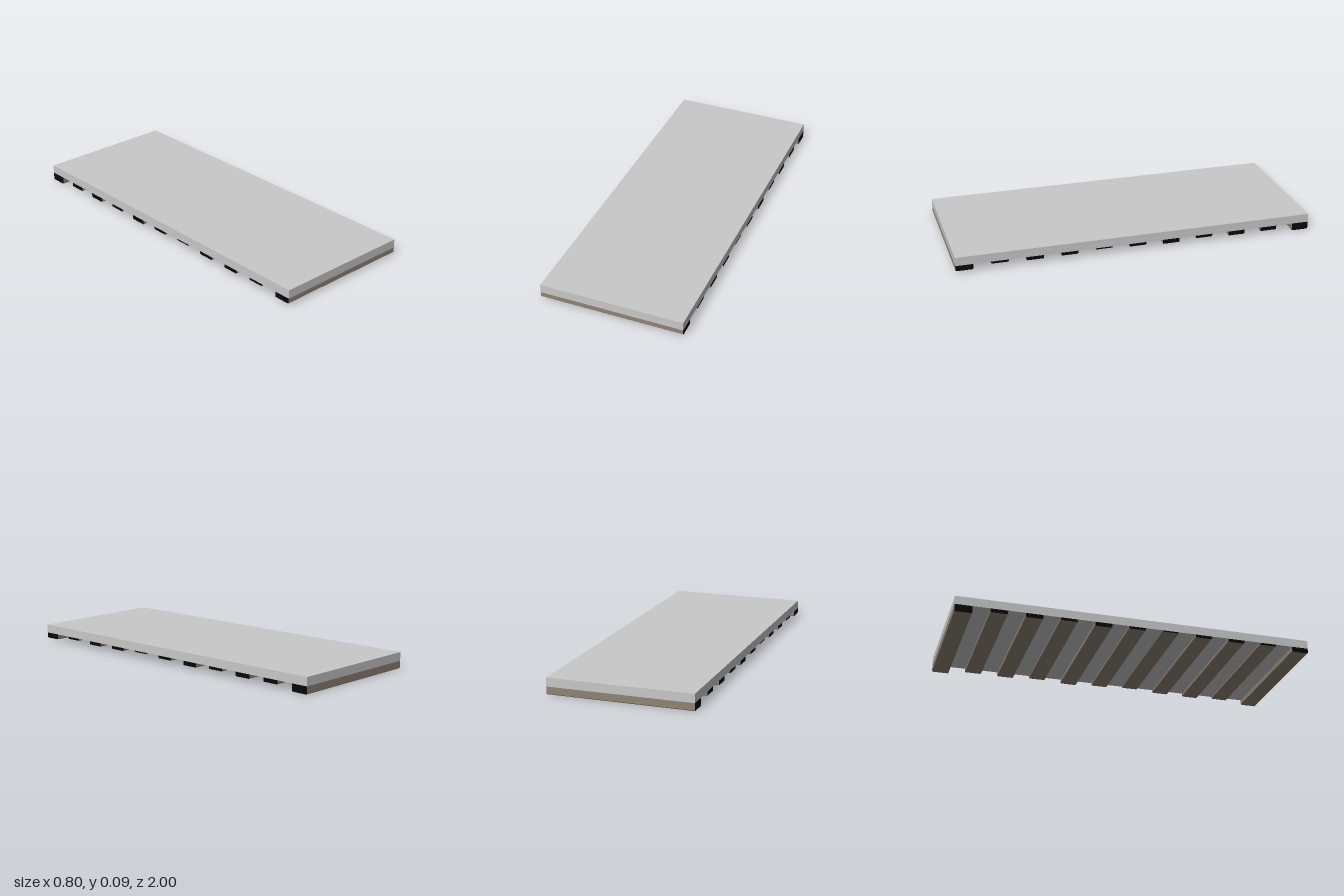
import * as THREE from 'three';

export function createModel() {
  const group = new THREE.Group();
  const mat = (name, color) => {
    const m = new THREE.MeshStandardMaterial({ color });
    m.name = name;
    return m;
  };
  const grey = mat('slab grey', 0xc8c8c8);
  const brown = mat('plank brown', 0x8f8375);
  const black = mat('plank end black', 0x080808);
  const halfWidth = 0.4, slabBottom = 0.042, slabTop = 0.09;

  // flat deck slab
  const slab = new THREE.Mesh(new THREE.BoxGeometry(2 * halfWidth, slabTop - slabBottom, 2), grey);
  slab.name = 'slab';
  slab.position.y = (slabTop + slabBottom) / 2;
  group.add(slab);

  // cross planks of uneven depth, listed from front to back, with dark end grain
  const bottoms = [0.012, 0.03, 0.023, 0.025, 0.035, 0.027, 0.018, 0.027, 0.018, 0.02, 0];
  const plankWidth = 0.095, bevel = 0.004;
  const pitch = (2 - plankWidth) / (bottoms.length - 1);
  bottoms.forEach((bottom, i) => {
    const w = plankWidth / 2;
    // section in z and y, with chamfered lower edges
    const section = new THREE.Shape([
      [-w, slabBottom], [-w, bottom + bevel], [-w + bevel, bottom],
      [w - bevel, bottom], [w, bottom + bevel], [w, slabBottom],
    ].map(([z, y]) => new THREE.Vector2(z, y)));
    const geometry = new THREE.ExtrudeGeometry(section, { depth: 2 * halfWidth, bevelEnabled: false });
    geometry.rotateY(-Math.PI / 2).translate(halfWidth, 0, 0);
    const plank = new THREE.Mesh(geometry, [black, brown]);
    plank.name = `plank${i + 1}`;
    plank.position.z = 1 - w - i * pitch;
    group.add(plank);
  });
  return group;
}
